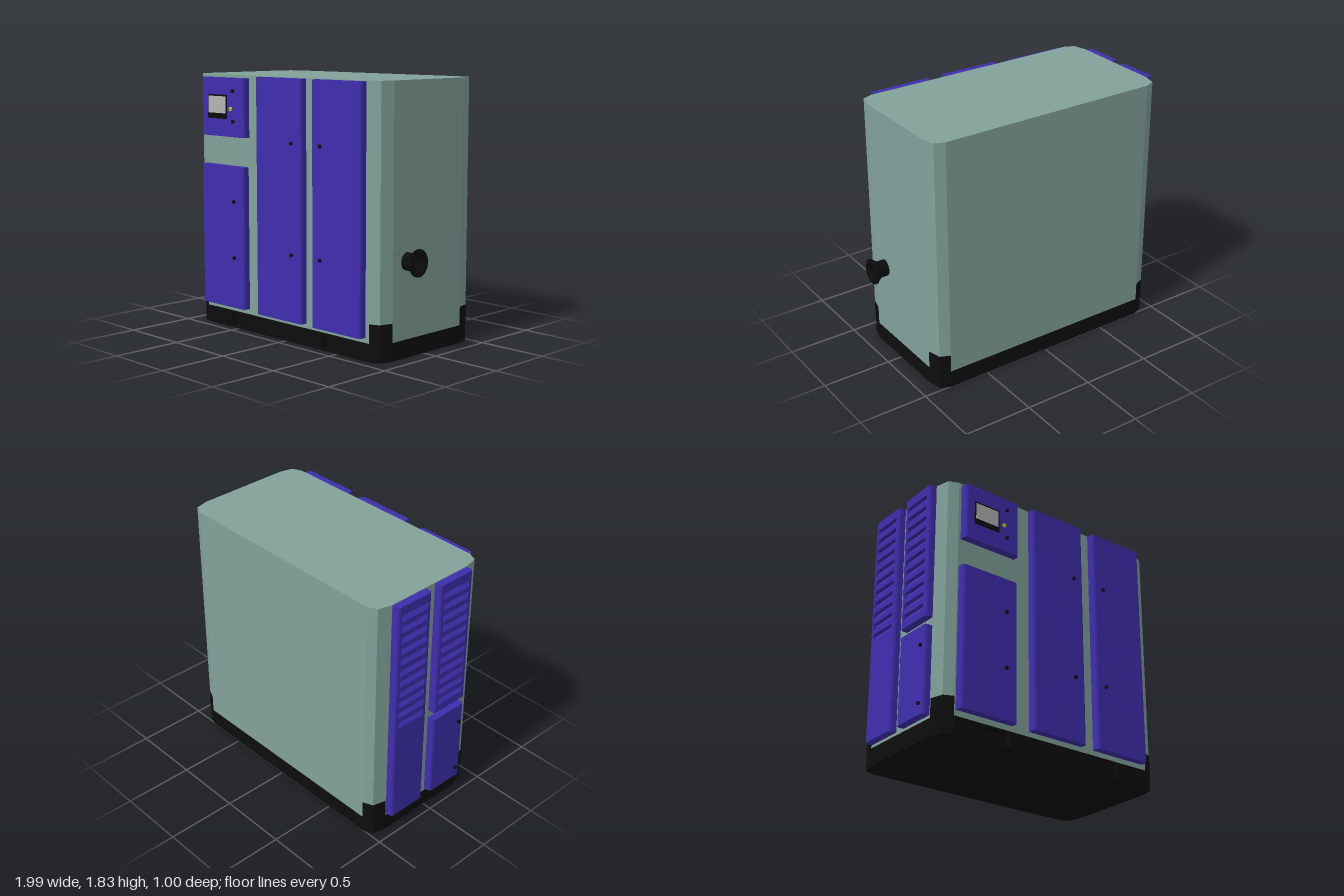
import * as THREE from 'three';

const mat = (color) => new THREE.MeshStandardMaterial({ color });
const GREEN = mat(0x82a29a), BLUE = mat(0x3f2eae), BLACK = mat(0x0d0d0d);
const GREY = mat(0xb4b4b4), YELLOW = mat(0xd8d020);

const X0 = -0.93, X1 = 0.89, Z0 = -0.505, Z1 = 0.43, DEPTH = 0.055;

function add(parent, name, geometry, material, x = 0, y = 0, z = 0) {
  const m = new THREE.Mesh(geometry, material);
  m.name = name;
  m.position.set(x, y, z);
  parent.add(m);
  return m;
}

// Vertical prism from a plan outline of [x, z] points
function prism(points, y0, y1) {
  const shape = new THREE.Shape(points.map(([x, z]) => new THREE.Vector2(x, -z)));
  const g = new THREE.ExtrudeGeometry(shape, { depth: y1 - y0, bevelEnabled: false });
  return g.rotateX(-Math.PI / 2).translate(0, y0, 0);
}

// Three points of the double-chamfered corner at side sx, sz, running from the front/back face to the end face
function corner(sx, sz, out = 0) {
  const cx = sx > 0 ? X1 + out : X0 - out, cz = sz > 0 ? Z1 + out : Z0 - out;
  return [[cx - sx * 0.095, cz], [cx - sx * 0.025, cz - sz * 0.03], [cx, cz - sz * 0.125]];
}

// Cabinet plan, optionally with pockets cut into the front edge
function plan(pockets = []) {
  const front = pockets.flatMap(([a, b]) => [[a, Z1], [a, Z1 - 0.04], [b, Z1 - 0.04], [b, Z1]]);
  return [
    ...corner(-1, 1).reverse(), ...front, ...corner(1, 1),
    ...corner(1, -1).reverse(), ...corner(-1, -1),
  ];
}

// Door plan with softened front edges; notch is the half width of a recess in its face
function doorPlan(w, notch = 0) {
  const h = w / 2, d = DEPTH, r = 0.018;
  const edge = [[h, 0], [h, d - r], [h - 0.3 * r, d - 0.3 * r], [h - r, d]];
  const cut = notch ? [[notch, d], [notch, d - 0.03], [-notch, d - 0.03], [-notch, d]] : [];
  return [...edge, ...cut, ...edge.map(([x, z]) => [-x, z]).reverse()];
}

// Door facing +z, with an optional list of louvre heights
function door(parent, name, w, y0, y1, louvres = []) {
  const g = new THREE.Group();
  g.name = name;
  parent.add(g);
  const slot = 0.045, half = w * 0.39;
  let y = y0;
  for (const b of louvres) {
    add(g, 'doorPanel', prism(doorPlan(w), y, b), BLUE);
    add(g, 'louvreSlot', prism(doorPlan(w, half), b, b + slot), BLUE);
    // sloping slat inside the slot
    const s = new THREE.Shape([
      new THREE.Vector2(DEPTH - 0.032, b), new THREE.Vector2(DEPTH - 0.001, b),
      new THREE.Vector2(DEPTH - 0.032, b + slot),
    ]);
    const slat = new THREE.ExtrudeGeometry(s, { depth: half * 2, bevelEnabled: false });
    add(g, 'louvreSlat', slat.rotateY(-Math.PI / 2).translate(half, 0, 0), BLUE);
    y = b + slot;
  }
  add(g, 'doorPanel', prism(doorPlan(w), y, y1), BLUE);
  return g;
}

function lock(parent, x, y) {
  const g = new THREE.CylinderGeometry(0.013, 0.013, 0.012, 16).rotateX(Math.PI / 2);
  add(parent, 'lock', g, BLACK, x, y, DEPTH + 0.005);
}

export function createModel() {
  const model = new THREE.Group();
  model.name = 'industrialCabinet';

  // Cabinet
  add(model, 'cabinet', prism(plan(), 0.125, 1.83), GREEN);

  // Plinth with two fork pockets
  const pockets = [[-0.57, -0.39], [0.355, 0.535]];
  const base = new THREE.Group();
  base.name = 'base';
  model.add(base);
  add(base, 'baseBottom', prism(plan(), 0, 0.012), BLACK);
  add(base, 'basePockets', prism(plan(pockets), 0.012, 0.108), BLACK);
  add(base, 'baseTop', prism(plan(), 0.108, 0.125), BLACK);

  // Raised corner guards
  for (const sx of [-1, 1]) {
    for (const sz of [-1, 1]) {
      const c = corner(sx, sz, 0.002);
      add(base, 'cornerGuard', prism([...c, [c[0][0], c[2][1]]], 0.12, 0.255), BLACK);
    }
  }

  // Front doors: name, centre x, width, bottom, top, locks [x offset, y]
  const fronts = [
    ['controlPanel', -0.59, 0.45, 1.395, 1.81, [[0.12, 1.72], [0.12, 1.505]]],
    ['lowerDoor', -0.6, 0.45, 0.165, 1.185, [[0.13, 0.935], [0.13, 0.53]]],
    ['middleDoor', -0.013, 0.45, 0.16, 1.825, [[0.138, 1.39], [0.138, 0.63]]],
    ['leftDoor', 0.54, 0.45, 0.16, 1.825, [[-0.14, 1.39], [-0.14, 0.63]]],
  ];
  for (const [name, x, w, y0, y1, locks] of fronts) {
    const d = door(model, name, w, y0, y1);
    d.position.set(x, 0, Z1);
    for (const [lx, ly] of locks) lock(d, lx, ly);
  }

  // Display and button on the control panel
  const zf = Z1 + DEPTH;
  add(model, 'displayFrame', new THREE.BoxGeometry(0.205, 0.17, 0.012), BLACK, -0.64, 1.605, zf);
  add(model, 'displayScreen', new THREE.BoxGeometry(0.188, 0.12, 0.004), GREY, -0.64, 1.619, zf + 0.006);
  const button = new THREE.CylinderGeometry(0.014, 0.014, 0.014, 16).rotateX(Math.PI / 2);
  add(model, 'button', button, YELLOW, -0.495, 1.593, zf + 0.004);
  add(model, 'buttonCentre', new THREE.CircleGeometry(0.005, 12), BLACK, -0.495, 1.593, zf + 0.0115);

  // Louvred doors on the end
  const louvres = Array.from({ length: 11 }, (_, i) => 0.885 + i * 0.083);
  const ends = [
    ['rearVentDoor', -0.228, 0.145, 1.825, louvres],
    ['frontVentDoor', 0.15, 0.83, 1.825, louvres],
    ['endLowerDoor', 0.15, 0.145, 0.77, []],
  ];
  for (const [name, z, y0, y1, vents] of ends) {
    const d = door(model, name, 0.296, y0, y1, vents);
    d.rotation.y = -Math.PI / 2;
    d.position.set(X0, 0, z);
    if (!vents.length) for (const y of [0.63, 0.225]) lock(d, 0.105, y);
  }

  // Flared, open outlet pipe
  const profile = [
    [0.046, 0], [0.06, 0], [0.06, 0.06], [0.064, 0.06], [0.09, 0.095], [0.093, 0.095],
    [0.093, 0.108], [0.046, 0.108], [0.046, 0],
  ].map(([r, h]) => new THREE.Vector2(r, h));
  const pipeMat = new THREE.MeshStandardMaterial({ color: 0x0d0d0d, side: THREE.DoubleSide });
  const pipe = new THREE.LatheGeometry(profile, 32).rotateZ(-Math.PI / 2).scale(1, 1, 0.92);
  add(model, 'outletPipe', pipe, pipeMat, X1, 0.65, 0.172);

  return model;
}
